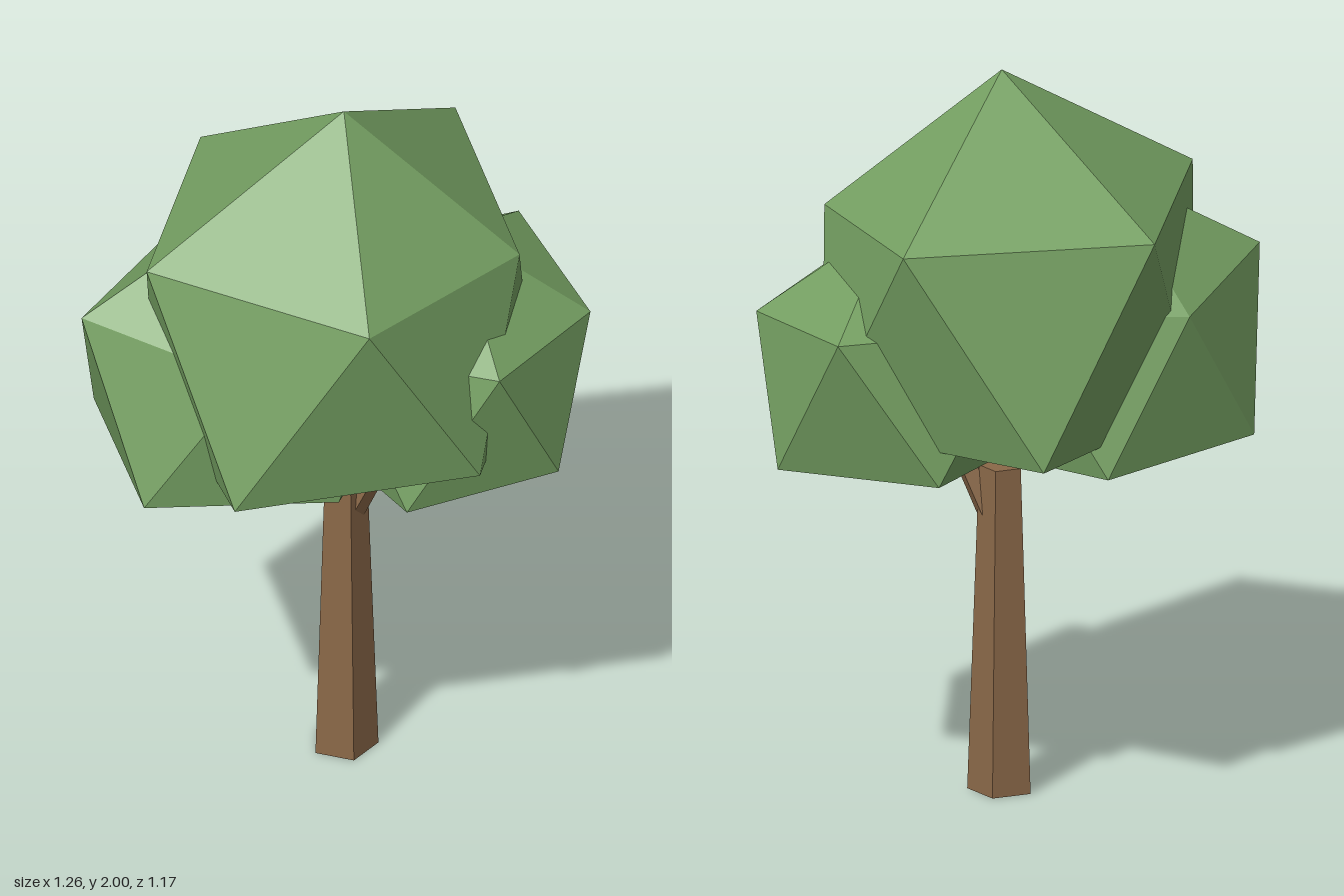
import * as THREE from 'three';

const leafGreen = new THREE.MeshStandardMaterial({ color: 0x75a062, flatShading: true });
leafGreen.name = 'leafGreen';
const barkBrown = new THREE.MeshStandardMaterial({ color: 0x8a6848, flatShading: true });
barkBrown.name = 'barkBrown';

// Faceted foliage: a top point, two staggered rings of five, and a flattened bottom point
function foliage(name, top, upper, lower, bottom) {
  const pos = [];
  const face = (...pts) => pts.forEach((p) => pos.push(...p));
  for (let i = 0; i < 5; i++) {
    const j = (i + 1) % 5;
    face(top, upper[j], upper[i]);
    face(upper[j], lower[i], upper[i]);
    face(upper[j], lower[j], lower[i]);
    face(bottom, lower[i], lower[j]);
  }
  const geo = new THREE.BufferGeometry();
  geo.setAttribute('position', new THREE.Float32BufferAttribute(pos, 3));
  geo.computeVertexNormals();
  const mesh = new THREE.Mesh(geo, leafGreen);
  mesh.name = name;
  return mesh;
}

// Tapered five-sided limb between two points
function limb(name, from, to, r0, r1, turn) {
  const a = new THREE.Vector3(...from);
  const b = new THREE.Vector3(...to);
  const dir = b.clone().sub(a);
  const geo = new THREE.CylinderGeometry(r1, r0, dir.length(), 5);
  geo.rotateY(turn);
  const mesh = new THREE.Mesh(geo, barkBrown);
  mesh.position.copy(a).add(b).multiplyScalar(0.5);
  mesh.quaternion.setFromUnitVectors(new THREE.Vector3(0, 1, 0), dir.normalize());
  mesh.name = name;
  return mesh;
}

export function createModel() {
  const tree = new THREE.Group();
  tree.name = 'tree';

  // Trunk and side branch
  tree.add(limb('trunk', [0.025, 0, 0], [0.025, 0.9, 0], 0.091, 0.06, Math.PI));
  tree.add(limb('branch', [0.045, 0.74, 0], [0.21, 1.1, 0], 0.036, 0.03, Math.PI / 2));

  // Large central crown
  tree.add(foliage('mainCrown', [0.025, 2, 0],
    [[0.13, 1.66, -0.59], [0.49, 1.605, -0.07], [0.26, 1.63, 0.47], [-0.385, 1.655, 0.4], [-0.465, 1.645, -0.26]],
    [[0.41, 1.09, -0.38], [0.488, 1.1, 0.24], [-0.075, 1.08, 0.585], [-0.48, 1.09, 0.07], [-0.24, 1.08, -0.54]],
    [0.025, 0.935, 0]));

  // Medium crown on the -x side
  tree.add(foliage('rightCrown', [-0.21, 1.72, 0.1],
    [[-0.575, 1.45, 0.375], [-0.52, 1.4, -0.115], [-0.08, 1.43, -0.32], [0.23, 1.43, 0.09], [-0.08, 1.41, 0.46]],
    [[-0.635, 1.01, 0.105], [-0.356, 1, -0.325], [0.13, 1, -0.16], [0.13, 1, 0.34], [-0.345, 1, 0.535]],
    [-0.21, 0.912, 0.1]));

  // Small crown carried by the branch
  tree.add(foliage('leftCrown', [0.29, 1.6, -0.13],
    [[0.315, 1.39, -0.565], [0.63, 1.35, -0.235], [0.525, 1.375, 0.19], [0.06, 1.37, 0.2], [-0.1, 1.37, -0.25]],
    [[0.52, 0.98, -0.42], [0.63, 1.005, 0.02], [0.3, 0.97, 0.285], [-0.08, 0.99, 0.01], [0.06, 0.995, -0.49]],
    [0.3, 0.9, -0.13]));

  return tree;
}
